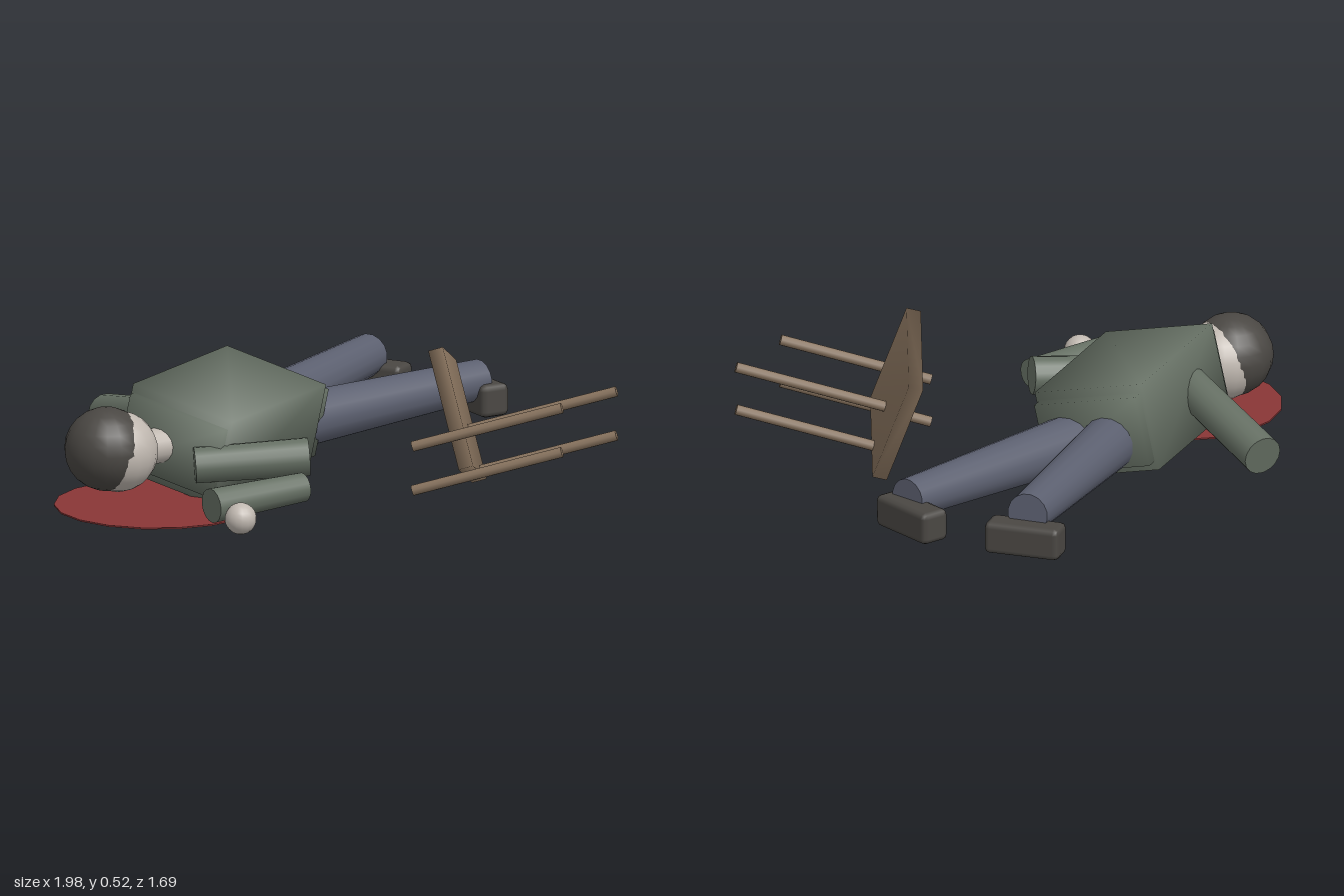
import * as THREE from 'three';
import { mergeVertices } from 'three/addons/utils/BufferGeometryUtils.js';
import { RoundedBoxGeometry } from 'three/addons/geometries/RoundedBoxGeometry.js';

const mat = (name, color) => {
  const m = new THREE.MeshStandardMaterial({ color });
  m.name = name;
  return m;
};

// Box whose corners share normals, for soft shading
function softBox(x, y, z) {
  const g = new THREE.BoxGeometry(x, y, z);
  g.deleteAttribute('normal');
  g.deleteAttribute('uv');
  const merged = mergeVertices(g);
  merged.computeVertexNormals();
  return merged;
}

export function createModel() {
  const coat = mat('coat green', 0x667064);
  const cloth = mat('trouser blue', 0x5c6070);
  const dark = mat('dark brown', 0x4a4743);
  const skin = mat('skin', 0xc0b8b0);
  const wood = mat('wood', 0x86715c);
  const red = mat('red', 0x893636);

  const model = new THREE.Group();
  const add = (name, geometry, material, pos = [0, 0, 0], parent = model) => {
    const mesh = new THREE.Mesh(geometry, material);
    mesh.name = name;
    mesh.position.set(...pos);
    parent.add(mesh);
    return mesh;
  };
  // Round bar from point a (radius ra) to point b (radius rb)
  const limb = (name, a, b, ra, rb, material, sides = 16, parent = model) => {
    const A = new THREE.Vector3(...a), B = new THREE.Vector3(...b);
    const dir = B.clone().sub(A);
    const mesh = add(name, new THREE.CylinderGeometry(rb, ra, dir.length(), sides), material,
      A.clone().add(B).multiplyScalar(0.5).toArray(), parent);
    mesh.quaternion.setFromUnitVectors(new THREE.Vector3(0, 1, 0), dir.normalize());
    return mesh;
  };

  // Flat disc on the floor
  add('floorDisc', new THREE.CylinderGeometry(0.342, 0.342, 0.005, 18), red, [-0.66, 0.045, -0.19]);

  // Torso: coat block with a longer, slimmer block inside it
  const torso = new THREE.Group();
  torso.name = 'torso';
  torso.position.set(-0.22, 0.215, -0.265);
  torso.rotation.set(0.22, 0.13, 0, 'YXZ');
  model.add(torso);
  add('coat', softBox(0.61, 0.3, 0.39), coat, [0, 0, 0], torso);
  add('shirt', softBox(0.68, 0.24, 0.37), coat, [0.01, 0, 0], torso);

  // Head, hair and neck
  limb('neck', [-0.68, 0.21, -0.32], [-0.5, 0.21, -0.26], 0.06, 0.06, skin);
  add('face', new THREE.SphereGeometry(0.135, 20, 14), skin, [-0.7, 0.213, -0.325]);
  add('hair', new THREE.SphereGeometry(0.14, 18, 12), dark, [-0.735, 0.225, -0.345]);

  // Arms
  limb('rightArm', [-0.36, 0.25, -0.4], [-0.13, 0.155, -0.815], 0.065, 0.067, coat);
  limb('leftUpperArm', [-0.56, 0.17, -0.11], [-0.305, 0.193, 0.17], 0.06, 0.064, coat);
  limb('leftForearm', [-0.8, 0.118, 0.148], [-0.455, 0.132, 0.262], 0.058, 0.049, coat);
  add('leftHand', new THREE.SphereGeometry(0.053, 16, 12), skin, [-0.805, 0.095, 0.275]);

  // Legs and shoes
  limb('rightLeg', [0.06, 0.19, -0.355], [0.86, 0.215, -0.49], 0.095, 0.07, cloth);
  limb('leftLeg', [0.06, 0.17, -0.235], [0.885, 0.192, -0.045], 0.095, 0.068, cloth);
  [['rightShoe', 0.875, -0.49, 0.2], ['leftShoe', 0.9, -0.07, -0.36]].forEach(([name, x, z, yaw]) => {
    const shoe = add(name, new RoundedBoxGeometry(0.105, 0.11, 0.26, 1, 0.02), dark, [x, 0.137, z]);
    shoe.rotation.y = yaw;
  });

  // Tipped stool: tilted seat and four parallel legs
  const stool = new THREE.Group();
  stool.name = 'stool';
  model.add(stool);
  const u = new THREE.Vector3(0.33, -0.14, -0.2).normalize();
  const n = new THREE.Vector3(0.58, 0.27, 0.77).normalize();
  const v = n.clone().cross(u).normalize();
  n.crossVectors(u, v);
  const seat = add('seat', softBox(0.4, 0.41, 0.05), wood, [0.227, 0.263, 0.378], stool);
  seat.quaternion.setFromRotationMatrix(new THREE.Matrix4().makeBasis(u, v, n));
  for (const x of [-0.055, 0.238]) {
    for (const y of [0.065, 0.215]) {
      limb('stoolLeg', [x, y, 0.41], [x + 0.26, y + 0.145, 0.835], 0.018, 0.018, wood, 10, stool);
    }
  }
  return model;
}
